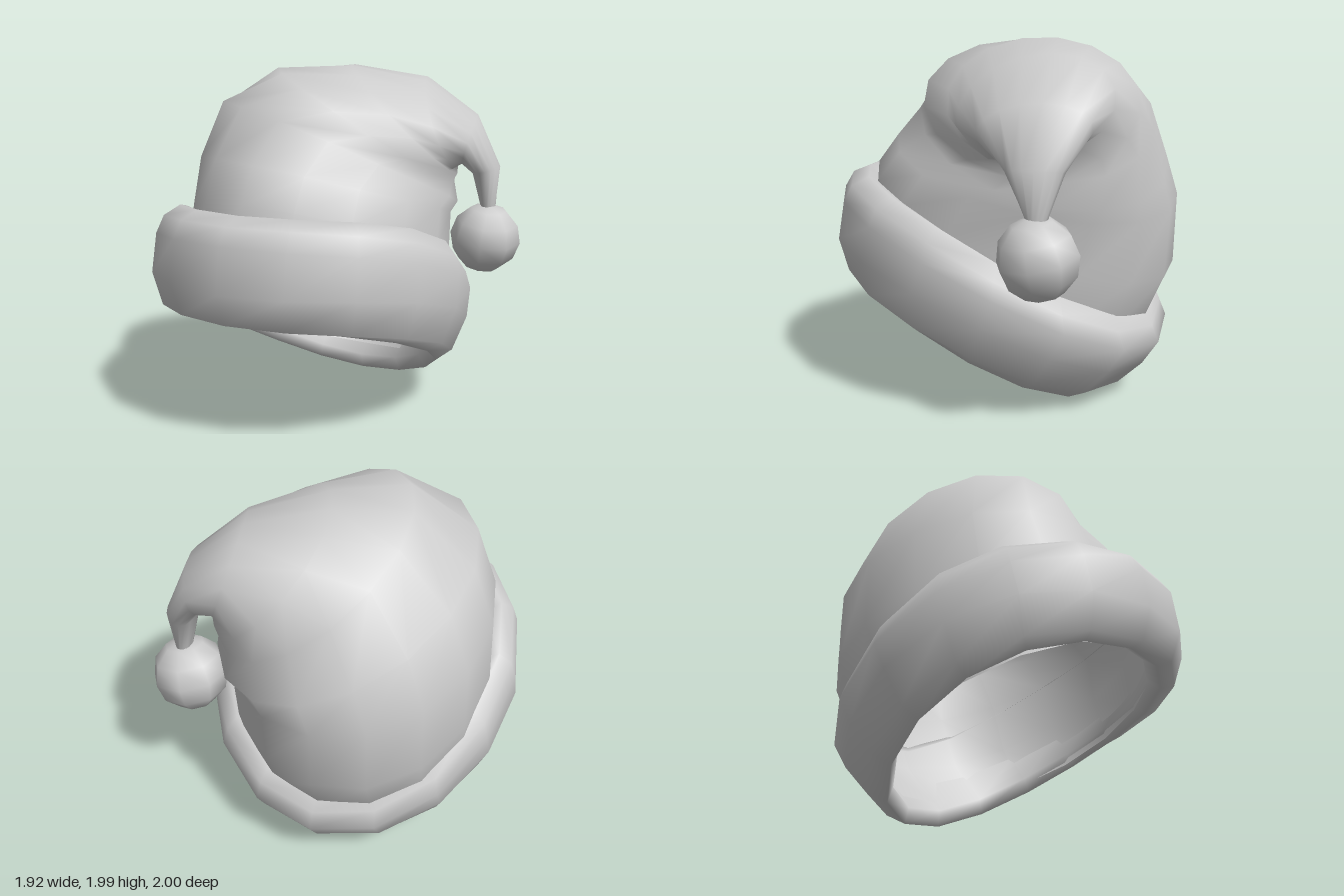
import * as THREE from 'three';

// Smooth skin over rows of points; every row is a closed loop.
function loft(rows) {
  const n = rows[0].length, index = [];
  for (let k = 0; k < rows.length - 1; k++) {
    for (let i = 0; i < n; i++) {
      const a = k * n + i, b = a + n;
      const c = k * n + (i + 1) % n, d = c + n;
      index.push(a, b, c, c, b, d);
    }
  }
  const geo = new THREE.BufferGeometry().setFromPoints(rows.flat());
  geo.setIndex(index);
  geo.computeVertexNormals();
  return geo;
}

function loop(count, fn) {
  return Array.from({ length: count }, (_, i) => fn((i / count) * Math.PI * 2));
}

export function createModel() {
  const group = new THREE.Group();
  const material = new THREE.MeshStandardMaterial({ color: 0xcccccc, side: THREE.DoubleSide });
  const add = (name, geo) => {
    const mesh = new THREE.Mesh(geo, material);
    mesh.name = name;
    group.add(mesh);
    return mesh;
  };

  // Rolled brim, from the cap over the outside and back under to the cap.
  // Each row: front z, front y, half width, side y, back z, back y
  const brim = [
    [0.72, 1.20, 0.72, 1.00, -0.84, 0.47],
    [0.80, 1.25, 0.79, 1.05, -0.87, 0.51],
    [0.91, 1.21, 0.86, 0.98, -0.93, 0.43],
    [0.97, 1.12, 0.89, 0.88, -0.97, 0.34],
    [1.00, 0.88, 0.90, 0.71, -0.88, 0.20],
    [0.94, 0.71, 0.84, 0.51, -0.74, 0.06],
    [0.86, 0.70, 0.76, 0.46, -0.62, 0.00],
    [0.79, 0.75, 0.70, 0.52, -0.60, 0.09],
    [0.79, 0.95, 0.74, 0.68, -0.74, 0.26],
  ];
  add('brim', loft(brim.map(([zf, yf, w, ys, zb, yb]) => loop(16, (a) => {
    const c = Math.cos(a);
    const y = ys + c * (yf - yb) / 2 + c * c * ((yf + yb) / 2 - ys);
    return new THREE.Vector3(-0.06 + w * Math.sin(a), y, (zf + zb) / 2 + c * (zf - zb) / 2);
  }))));

  // Cap: elliptical rings that fan over a side fold and droop to a tip.
  // Each row: centre, axis towards the fold, axis towards the front, pleat depth
  const rings = [
    [[-0.06, 0.46, 0.08], [0.72, 0, 0], [0, 0.30, 0.72], 0],
    [[-0.07, 0.72, -0.04], [0.74, 0, 0.03], [0, 0.34, 0.80], 0],
    [[-0.08, 1.00, -0.12], [0.75, 0, 0.06], [0, 0.29, 0.86], 0],
    [[-0.09, 1.28, -0.19], [0.73, -0.08, 0.02], [0, 0.20, 0.81], 0],
    [[-0.03, 1.47, -0.26], [0.67, -0.22, -0.05], [0, 0.23, 0.72], 0],
    [[0.125, 1.635, -0.30], [0.495, -0.315, -0.10], [0.10, 0.12, 0.63], 0],
    [[0.31, 1.675, -0.42], [0.31, -0.315, -0.06], [0.12, 0.05, 0.49], 0],
    [[0.515, 1.655, -0.48], [0.115, -0.265, 0.04], [0.10, 0, 0.38], 0.03],
    [[0.668, 1.56, -0.55], [-0.022, -0.14, 0.06], [0.08, 0, 0.27], 0.06],
    [[0.755, 1.38, -0.60], [-0.075, -0.02, 0.03], [0.04, 0, 0.14], 0.06],
    [[0.77, 1.14, -0.62], [-0.04, 0, 0], [0, 0, 0.05], 0],
  ];
  add('cap', loft(rings.map(([c, u, v, pleat]) => loop(16, (a) => {
    // pleats only pinch the side facing the fold
    const r = 1 - pleat * Math.max(0, Math.cos(a)) * (1 + Math.cos(8 * a));
    return new THREE.Vector3(...c)
      .addScaledVector(new THREE.Vector3(...u), r * Math.cos(a))
      .addScaledVector(new THREE.Vector3(...v), r * Math.sin(a));
  }))));

  // Pompom hanging from the tip
  const pompom = add('pompom', new THREE.SphereGeometry(0.21, 8, 6));
  pompom.position.set(0.755, 0.965, -0.62);
  pompom.rotation.set(0.15, 0.2, -0.15);

  return group;
}
